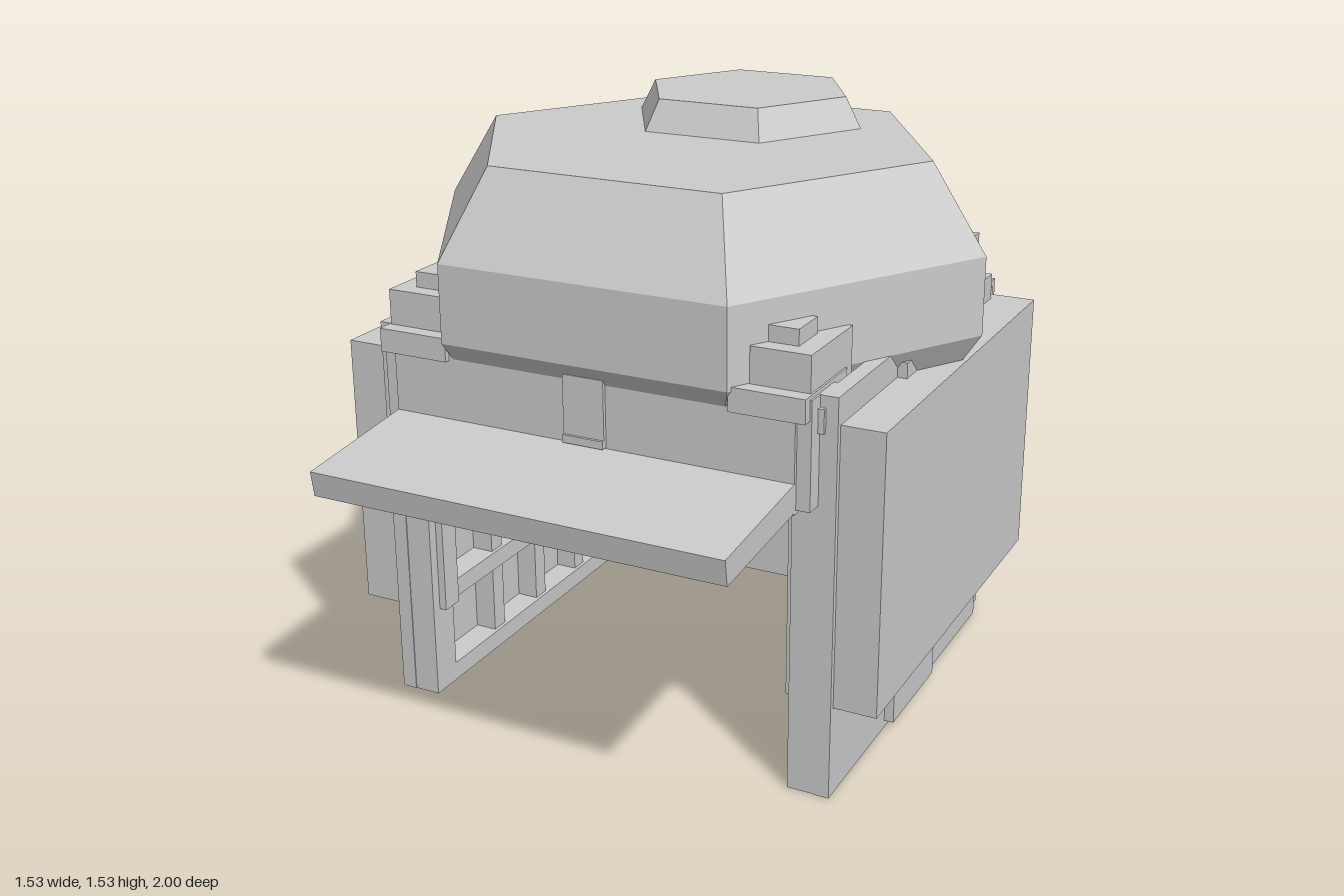
import * as THREE from 'three';

const material = new THREE.MeshStandardMaterial({ color: 0xcccccc, flatShading: true });

export function createModel() {
  const model = new THREE.Group();

  function add(name, geometry) {
    const mesh = new THREE.Mesh(geometry, material);
    mesh.name = name;
    model.add(mesh);
    return mesh;
  }
  // Box given by its extents
  function box(name, x0, x1, y0, y1, z0, z1) {
    const mesh = add(name, new THREE.BoxGeometry(x1 - x0, y1 - y0, z1 - z0));
    mesh.position.set((x0 + x1) / 2, (y0 + y1) / 2, (z0 + z1) / 2);
  }
  // Box and its mirror image across x = 0
  function pair(name, x0, x1, y0, y1, z0, z1) {
    box(name, x0, x1, y0, y1, z0, z1);
    box(name, -x1, -x0, y0, y1, z0, z1);
  }
  // Side outline of [z, y] points, given a width across x
  function slab(name, halfWidth, outline) {
    const shape = new THREE.Shape(outline.map(([z, y]) => new THREE.Vector2(z, y)));
    const geometry = new THREE.ExtrudeGeometry(shape, { depth: halfWidth * 2, bevelEnabled: false });
    add(name, geometry.translate(0, 0, -halfWidth).rotateY(-Math.PI / 2));
  }
  // Six-sided solid from [radius, y] points, corners on the x axis
  function hexagon(name, z, depthScale, profile) {
    const points = profile.map(([r, y]) => new THREE.Vector2(r, y));
    const mesh = add(name, new THREE.LatheGeometry(points, 6, Math.PI / 6));
    mesh.position.z = z;
    mesh.scale.z = depthScale;
  }

  // Domed roof and hatch
  hexagon('dome', 0.027, 0.97, [[0, 0.81], [0.62, 0.81], [0.765, 1.03], [0.765, 1.23], [0.62, 1.45], [0, 1.45]]);
  hexagon('hatch', -0.247, 1, [[0, 1.3], [0.345, 1.3], [0.345, 1.41], [0.28, 1.53], [0, 1.53]]);

  // Side walls with an inner frame of posts and rails
  pair('sideWall', 0.58, 0.62, 0, 1.03, -0.5, 0.59);
  pair('frontPillar', 0.51, 0.6, 0, 1.03, 0.5, 0.588);
  pair('rearPillar', 0.51, 0.6, 0, 0.97, -0.58, -0.45);
  for (const y of [0, 0.24, 0.66]) pair('sideRail', 0.51, 0.6, y, y + 0.05, -0.5, 0.55);
  for (const z of [-0.2, 0.02, 0.24]) pair('sideRib', 0.52, 0.6, 0.02, 0.7, z, z + 0.05);
  pair('innerStrip', 0.49, 0.515, 0.24, 0.72, 0.5, 0.56);
  pair('sidePanel', 0.61, 0.73, 0.24, 0.96, -0.54, 0.575);
  pair('sidePlate', 0.6, 0.645, 0.02, 1.0, -0.075, 0.22);

  // Back wall, ledges inside it, and outer panel
  box('backWall', -0.54, 0.54, 0, 1.0, -0.6, -0.54);
  box('backLedge', -0.51, 0.51, 0, 0.265, -0.56, -0.48);
  box('backStep', -0.485, 0.485, 0.265, 0.39, -0.56, -0.51);
  pair('backCorner', 0.5, 0.58, 0, 1.03, -0.567, -0.48);
  box('backPanel', -0.58, 0.58, 0.235, 0.97, -0.66, -0.59);

  // Roof deck and front wall
  box('roofDeck', -0.59, 0.59, 0.94, 1.0, -0.56, 0.6);
  box('frontPanel', -0.54, 0.54, 0.75, 1.0, 0.56, 0.645);
  pair('frontBracket', 0.5, 0.575, 0.76, 1.03, 0.55, 0.635);
  box('centrePlate', -0.055, 0.055, 0.83, 1.0, 0.6, 0.655);
  box('centreSill', -0.055, 0.055, 0.83, 0.85, 0.6, 0.662);
  box('slotBar', -0.17, 0.17, 0.7, 0.712, 0.5, 0.58);

  // Stepped caps on the four corners
  for (const [z0, z1, k0, k1, end0, end1] of [
    [0.38, 0.62, 0.47, 0.575, 0.42, 0.66],
    [-0.54, -0.3, -0.48, -0.385, -0.565, -0.3],
  ]) {
    pair('cornerBase', 0.38, 0.57, 0.98, 1.04, end0, end1);
    pair('cornerCap', 0.415, 0.565, 1.0, 1.13, z0, z1);
    pair('cornerKnob', 0.44, 0.515, 1.1, 1.17, k0, k1);
  }

  // Sloping front shelf
  slab('frontShelf', 0.54, [[0.99, 0.725], [1.0, 0.79], [0.6, 0.832], [0.59, 0.76]]);

  // Jointed tail on the back
  slab('tailTop', 0.175, [[-0.64, 0.945], [-0.835, 0.88], [-0.785, 0.7], [-0.64, 0.7]]);
  slab('tailMiddle', 0.185, [[-0.625, 0.7], [-0.885, 0.755], [-0.955, 0.39], [-0.7, 0.335]]);
  slab('tailTip', 0.15, [[-0.66, 0.325], [-0.875, 0.38], [-1.0, 0.15], [-0.81, 0.055]]);

  return model;
}
